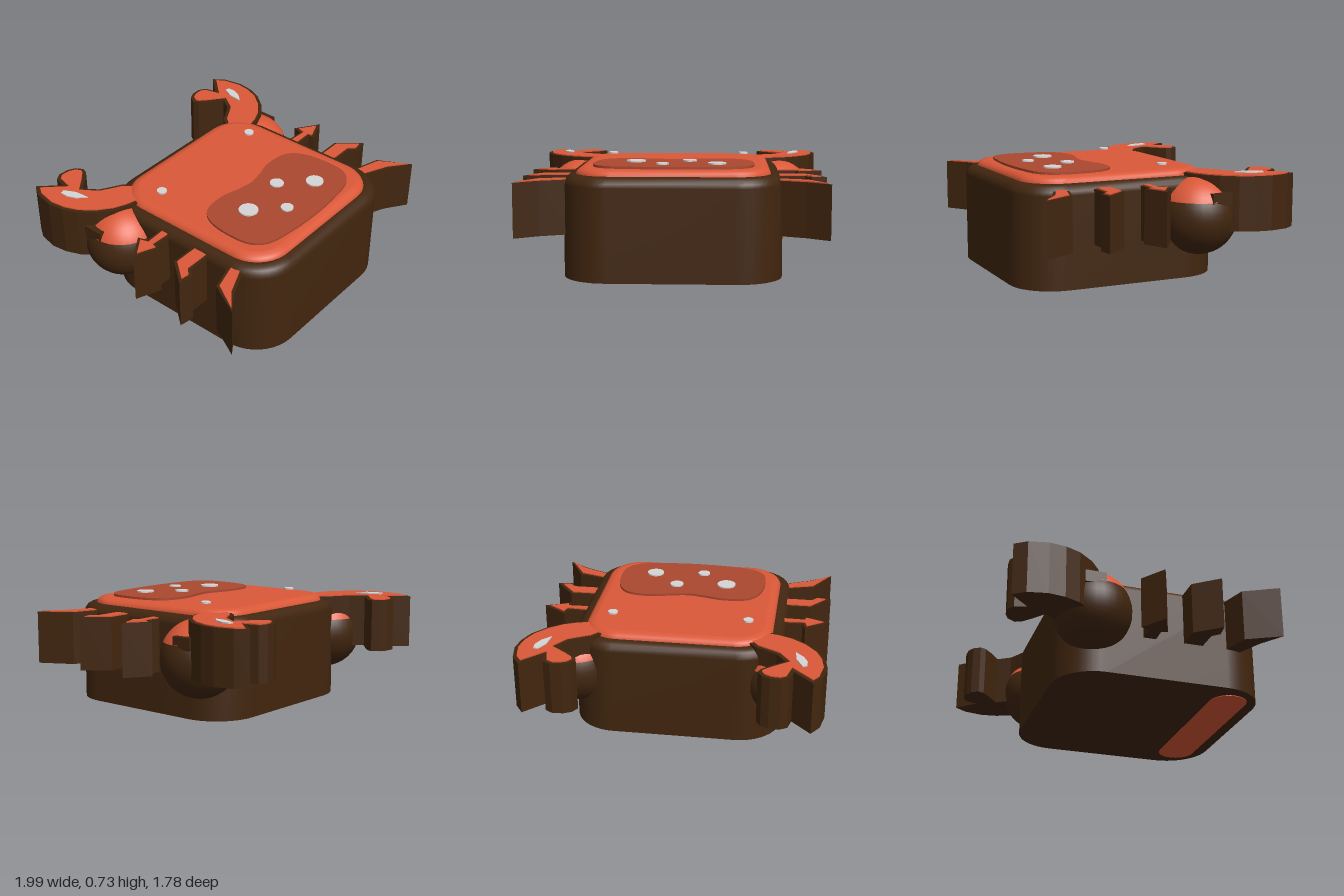
import * as THREE from 'three';

const mat = (name, color) => Object.assign(new THREE.MeshStandardMaterial({ color }), { name });

// Corner points [x, z] of a rounded rectangle, shrunk by inset
function roundedRect(halfW, z0, z1, radius, inset, steps = 10) {
  const r = Math.max(radius - inset, 0.02), pts = [];
  const w = halfW - inset - r, a = z0 + inset + r, b = z1 - inset - r;
  [[w, b], [-w, b], [-w, a], [w, a]].forEach(([cx, cz], q) => {
    for (let i = 0; i <= steps; i++) {
      const t = (q + i / steps) * Math.PI / 2;
      pts.push([cx + r * Math.cos(t), cz + r * Math.sin(t)]);
    }
  });
  return pts;
}

// Closed solid through stacked rings: each level is [points, y]
function loft(levels) {
  const pos = [], idx = [], n = levels[0][0].length;
  const addRing = ([pts, y]) => pts.forEach(([x, z]) => pos.push(x, y, z));
  levels.forEach(addRing);
  for (let k = 0; k < levels.length - 1; k++) {
    for (let i = 0; i < n; i++) {
      const j = (i + 1) % n, a = k * n + i, b = k * n + j;
      idx.push(a, a + n, b, b, a + n, b + n);
    }
  }
  [levels[0], levels[levels.length - 1]].forEach((level, top) => {
    const base = pos.length / 3;
    addRing(level);
    for (let i = 1; i < n - 1; i++) {
      if (top) idx.push(base, base + i + 1, base + i);
      else idx.push(base, base + i, base + i + 1);
    }
  });
  const g = new THREE.BufferGeometry();
  g.setAttribute('position', new THREE.Float32BufferAttribute(pos, 3));
  g.setIndex(idx);
  g.computeVertexNormals();
  return g;
}

// Upright prism over an outline of [x, z] points
function prism(pts, y0, y1) {
  const shape = new THREE.Shape(pts.map(([x, z]) => new THREE.Vector2(x, -z)));
  const g = new THREE.ExtrudeGeometry(shape, { depth: y1 - y0, bevelEnabled: false });
  return g.rotateX(-Math.PI / 2).translate(0, y0, 0);
}

// Outline moved inwards by d, with mitred corners
function insetOutline(pts, d) {
  const n = pts.length;
  let area = 0;
  pts.forEach(([x, z], i) => {
    const [u, v] = pts[(i + 1) % n];
    area += x * v - u * z;
  });
  const s = Math.sign(area);
  const normal = (p, q) => {
    const dx = q[0] - p[0], dz = q[1] - p[1], l = Math.hypot(dx, dz);
    return [-dz / l * s, dx / l * s];
  };
  return pts.map((p, i) => {
    const a = normal(pts[(i + n - 1) % n], p), b = normal(p, pts[(i + 1) % n]);
    const k = d / Math.max(1 + a[0] * b[0] + a[1] * b[1], 0.3);
    return [p[0] + (a[0] + b[0]) * k, p[1] + (a[1] + b[1]) * k];
  });
}

// Smooth closed curve through points
function smooth(pts, count) {
  const curve = new THREE.CatmullRomCurve3(pts.map(([x, z]) => new THREE.Vector3(x, 0, z)), true);
  return curve.getPoints(count).slice(0, -1).map(p => [p.x, p.z]);
}

const CLAW = [
  [0.40, -0.34], [0.49, -0.41], [0.53, -0.46], [0.62, -0.51], [0.67, -0.54], [0.73, -0.63],
  [0.64, -0.70], [0.585, -0.75], [0.57, -0.79], [0.60, -0.84], [0.65, -0.865], [0.72, -0.87],
  [0.77, -0.84], [0.79, -0.76], [0.915, -0.89], [0.97, -0.81], [0.995, -0.68], [0.98, -0.57],
  [0.94, -0.47], [0.86, -0.37], [0.77, -0.30], [0.68, -0.26], [0.60, -0.24], [0.50, -0.20],
];
const CLAW_SHINE = [[0.84, -0.70], [0.87, -0.69], [0.87, -0.64], [0.845, -0.58], [0.79, -0.52], [0.80, -0.62]];
const LEGS = [
  [[0.64, 0.02], [0.81, 0.03], [0.83, -0.035], [0.99, 0.075], [0.82, 0.145], [0.81, 0.105], [0.64, 0.11]],
  [[0.64, 0.30], [0.86, 0.30], [0.99, 0.46], [0.89, 0.475], [0.85, 0.43], [0.64, 0.43]],
  [[0.64, 0.58], [0.69, 0.595], [0.87, 0.65], [0.985, 0.87], [0.84, 0.77], [0.64, 0.68]],
];

export function createModel() {
  const model = new THREE.Group();
  const dark = mat('darkBrown', 0x42260f);
  const orange = mat('shellOrange', 0xdb5838);
  const rust = mat('bellyRust', 0xab4830);
  const grey = mat('paleGrey', 0xd6d6d6);

  const add = (name, geometry, material, parent = model) => {
    const mesh = new THREE.Mesh(geometry, material);
    mesh.name = name;
    parent.add(mesh);
    return mesh;
  };

  // Dark body with a rounded upper rim
  const body = inset => roundedRect(0.70, -0.51, 0.89, 0.29, inset);
  add('body', loft([
    [body(0), 0.004], [body(0), 0.6], [body(0.006), 0.625], [body(0.022), 0.648],
    [body(0.045), 0.661], [body(0.07), 0.665],
  ]), dark);

  // Orange shell top with a soft edge
  const shell = inset => roundedRect(0.625, -0.44, 0.815, 0.24, inset);
  add('shellTop', loft([
    [shell(0), 0.64], [shell(0), 0.665], [shell(0.01), 0.685], [shell(0.03), 0.699],
    [shell(0.06), 0.705],
  ]), orange);

  // Underside inlay along the front
  add('undersideInlay', prism(roundedRect(0.60, 0.56, 0.81, 0.12, 0), 0, 0.005), orange);

  // Wavy patch on the shell with round spots
  const half = [[0.12, 0.20], [0.25, 0.17], [0.42, 0.195], [0.49, 0.28], [0.52, 0.45], [0.50, 0.62], [0.42, 0.70], [0.25, 0.735]];
  const patch = [[0, 0.22], ...half, [0, 0.75], ...half.map(([x, z]) => [-x, z]).reverse()];
  add('shellPatch', prism(smooth(patch, 72), 0.70, 0.72), rust);

  const disc = (name, x, z, r, y = 0.724) =>
    add(name, new THREE.CylinderGeometry(r, r, 0.012, 24).translate(x, y, z), grey);
  [[-0.25, 0.40, 0.064], [0.10, 0.36, 0.047], [-0.07, 0.575, 0.042], [0.28, 0.54, 0.059]]
    .forEach(([x, z, r]) => disc('spot', x, z, r));

  // Mirrored limbs and eyes
  for (const side of [1, -1]) {
    const label = side > 0 ? 'left' : 'right';
    const flip = pts => pts.map(([x, z]) => [x * side, z]);
    const limbs = new THREE.Group();
    limbs.name = label + 'Limbs';
    model.add(limbs);

    disc(label + 'Eye', 0.457 * side, -0.165, 0.033, 0.728);

    // Claw with raised orange face and highlight
    add('claw', prism(flip(CLAW), 0.33, 0.683), dark, limbs);
    add('clawFace', prism(flip(insetOutline(CLAW, 0.024)), 0.682, 0.69), orange, limbs);
    add('clawShine', prism(flip(CLAW_SHINE), 0.69, 0.698), grey, limbs);

    // Round shoulder with orange cap and a dark notch
    add('shoulder', new THREE.SphereGeometry(0.255, 32, 20)
      .translate(0.69 * side, 0.41, -0.315), dark, limbs);
    add('shoulderCap', new THREE.SphereGeometry(0.258, 32, 8, 0, Math.PI * 2, 0, 1.12)
      .translate(0.69 * side, 0.41, -0.315), orange, limbs);
    add('shoulderNotch', new THREE.BoxGeometry(0.12, 0.08, 0.14)
      .translate(0.86 * side, 0.54, -0.36), dark, limbs);

    // Three legs
    LEGS.forEach(outline => {
      add('leg', prism(flip(outline), 0.28, 0.63), dark, limbs);
      add('legFace', prism(flip(insetOutline(outline, 0.019)), 0.629, 0.637), orange, limbs);
    });
  }
  return model;
}
